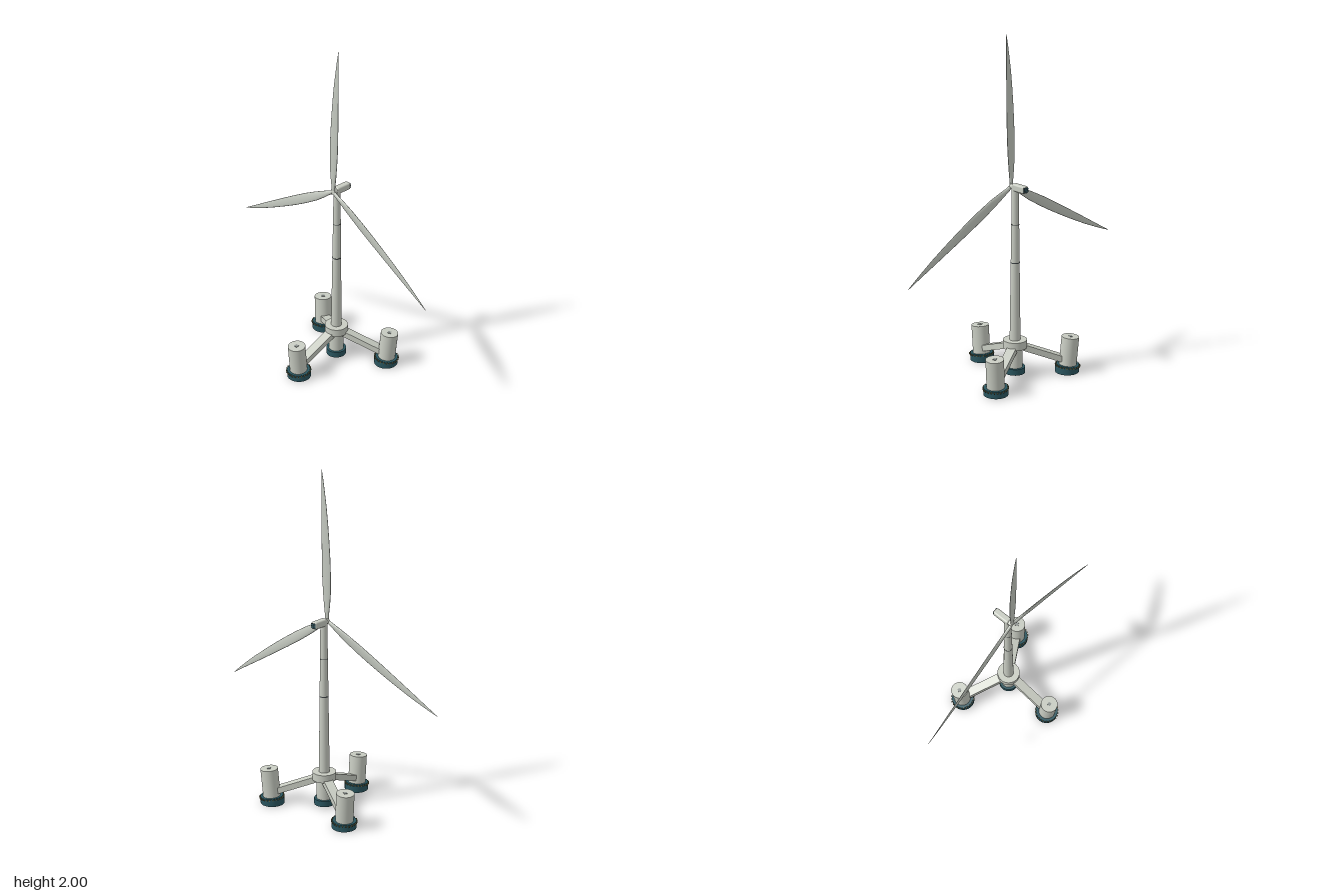
import * as THREE from 'three';
import { RoundedBoxGeometry } from 'three/addons/geometries/RoundedBoxGeometry.js';

const mat = (name, color, side = THREE.FrontSide) => {
  const m = new THREE.MeshStandardMaterial({ color, side });
  m.name = name;
  return m;
};

export function createModel() {
  const model = new THREE.Group();
  model.name = 'floatingWindTurbine';
  const paint = mat('paleGrey', 0xc9cdc3);
  const bladePaint = mat('bladeGrey', 0xc6cbc2, THREE.DoubleSide);
  const teal = mat('deepTeal', 0x2a5660);
  const dark = mat('darkGrey', 0x3c4244);
  const hatchGrey = mat('hatchGrey', 0x8f9592);
  const olive = mat('olive', 0x6b6a45);

  const add = (parent, name, geometry, material, x = 0, y = 0, z = 0) => {
    const mesh = new THREE.Mesh(geometry, material);
    mesh.name = name;
    mesh.position.set(x, y, z);
    parent.add(mesh);
    return mesh;
  };
  // Upright cylinder between two heights
  const post = (parent, name, rTop, rBottom, y0, y1, material, x = 0) =>
    add(parent, name, new THREE.CylinderGeometry(rTop, rBottom, y1 - y0, 40), material, x, (y0 + y1) / 2, 0);

  // Everything is arranged around the tower axis
  const body = new THREE.Group();
  body.name = 'turbine';
  body.position.set(0.08, 0, 0.017);
  model.add(body);

  // Centre column, collar and tapered tower with section joints
  post(body, 'centreFoot', 0.06, 0.06, 0.015, 0.052, teal);
  post(body, 'centreColumn', 0.045, 0.045, 0.05, 0.17, paint);
  post(body, 'collar', 0.07, 0.07, 0.172, 0.22, paint);
  post(body, 'tower', 0.02, 0.032, 0.2, 1.125, paint);
  const towerRadius = (y) => 0.032 - (0.012 * (y - 0.2)) / 0.925;
  for (const [y, h] of [[0.69, 0.006], [0.917, 0.003]]) {
    const r = towerRadius(y) + 0.0008;
    post(body, 'towerJoint', r, r, y - h / 2, y + h / 2, dark);
  }

  // Three arms with leaning float columns
  for (const angle of [Math.PI, Math.PI / 3, -Math.PI / 3]) {
    const leg = new THREE.Group();
    leg.name = 'floatLeg';
    leg.rotation.y = angle;
    body.add(leg);

    const dx = 0.24, dy = -0.092;
    const arm = add(leg, 'arm', new THREE.BoxGeometry(Math.hypot(dx, dy), 0.036, 0.055), paint, 0.17, 0.126, 0);
    arm.rotation.z = Math.atan2(dy, dx);

    post(leg, 'foot', 0.071, 0.071, 0, 0.042, teal, 0.312);

    const float = new THREE.Group();
    float.name = 'float';
    float.position.set(0.312, 0, 0);
    float.rotation.z = -0.082;
    leg.add(float);
    post(float, 'floatColumn', 0.052, 0.052, 0.01, 0.218, paint);
    add(float, 'hatch', new THREE.BoxGeometry(0.02, 0.004, 0.02), hatchGrey, 0, 0.219, 0);
    post(float, 'fenderRing', 0.068, 0.068, 0.028, 0.046, teal);

    // Cleats around the fender ring
    for (let i = 0; i < 24; i++) {
      const a = (i / 24) * Math.PI * 2;
      const cleat = add(float, 'cleat', new THREE.BoxGeometry(0.012, 0.008, 0.006), olive,
        0.07 * Math.cos(a), 0.04, -0.07 * Math.sin(a));
      cleat.rotation.y = a;
    }
  }

  // Nacelle with louvred rear
  add(body, 'nacelle', new RoundedBoxGeometry(0.106, 0.042, 0.04, 4, 0.01), paint, 0.04, 1.135, 0);
  add(body, 'rearPanel', new THREE.BoxGeometry(0.003, 0.03, 0.03), dark, 0.0925, 1.135, 0);
  for (const y of [1.126, 1.135, 1.144]) {
    add(body, 'louvre', new THREE.BoxGeometry(0.003, 0.005, 0.032), teal, 0.0938, y, 0);
  }

  // Rotor
  const rotor = new THREE.Group();
  rotor.name = 'rotor';
  rotor.position.set(-0.032, 1.135, 0.001);
  body.add(rotor);
  const hub = add(rotor, 'hub', new THREE.CylinderGeometry(0.017, 0.017, 0.026, 28), paint, 0.011, 0, 0);
  hub.rotation.z = Math.PI / 2;
  const nose = add(rotor, 'hubNose', new THREE.SphereGeometry(0.017, 24, 16), paint, -0.001, 0, 0);
  nose.scale.x = 0.45;

  const bladeGeometry = makeBlade();
  for (let i = 0; i < 3; i++) {
    const blade = add(rotor, 'blade', bladeGeometry, bladePaint);
    blade.rotation.x = THREE.MathUtils.degToRad(2.5 + 120 * i);
  }
  return model;
}

// Blade lofted from lens sections: [radius, rear edge, front edge, half thickness]
function makeBlade() {
  const stations = [
    [0.010, -0.011, 0.011, 0.009], [0.040, -0.013, 0.013, 0.009], [0.090, -0.022, 0.017, 0.008],
    [0.160, -0.031, 0.021, 0.007], [0.260, -0.036, 0.023, 0.006], [0.360, -0.037, 0.021, 0.005],
    [0.460, -0.035, 0.018, 0.0045], [0.560, -0.031, 0.014, 0.004], [0.660, -0.025, 0.010, 0.003],
    [0.740, -0.017, 0.006, 0.0025], [0.810, -0.009, 0.003, 0.002], [0.862, -0.001, 0.001, 0.001],
  ];
  const n = 16;
  const positions = [];
  const index = [];
  stations.forEach(([y, rear, front, thick], s) => {
    const twist = 0.12 * (1 - y / 0.862);
    for (let i = 0; i < n; i++) {
      const a = (i / n) * Math.PI * 2;
      const z = (rear + front) / 2 + ((front - rear) / 2) * Math.cos(a);
      const x = thick * Math.sin(a);
      positions.push(x * Math.cos(twist) + z * Math.sin(twist), y, z * Math.cos(twist) - x * Math.sin(twist));
      if (s < stations.length - 1) {
        const p = s * n + i, q = s * n + ((i + 1) % n);
        index.push(p, q, p + n, q, q + n, p + n);
      }
    }
  });
  const geometry = new THREE.BufferGeometry();
  geometry.setAttribute('position', new THREE.Float32BufferAttribute(positions, 3));
  geometry.setIndex(index);
  geometry.computeVertexNormals();
  return geometry;
}
